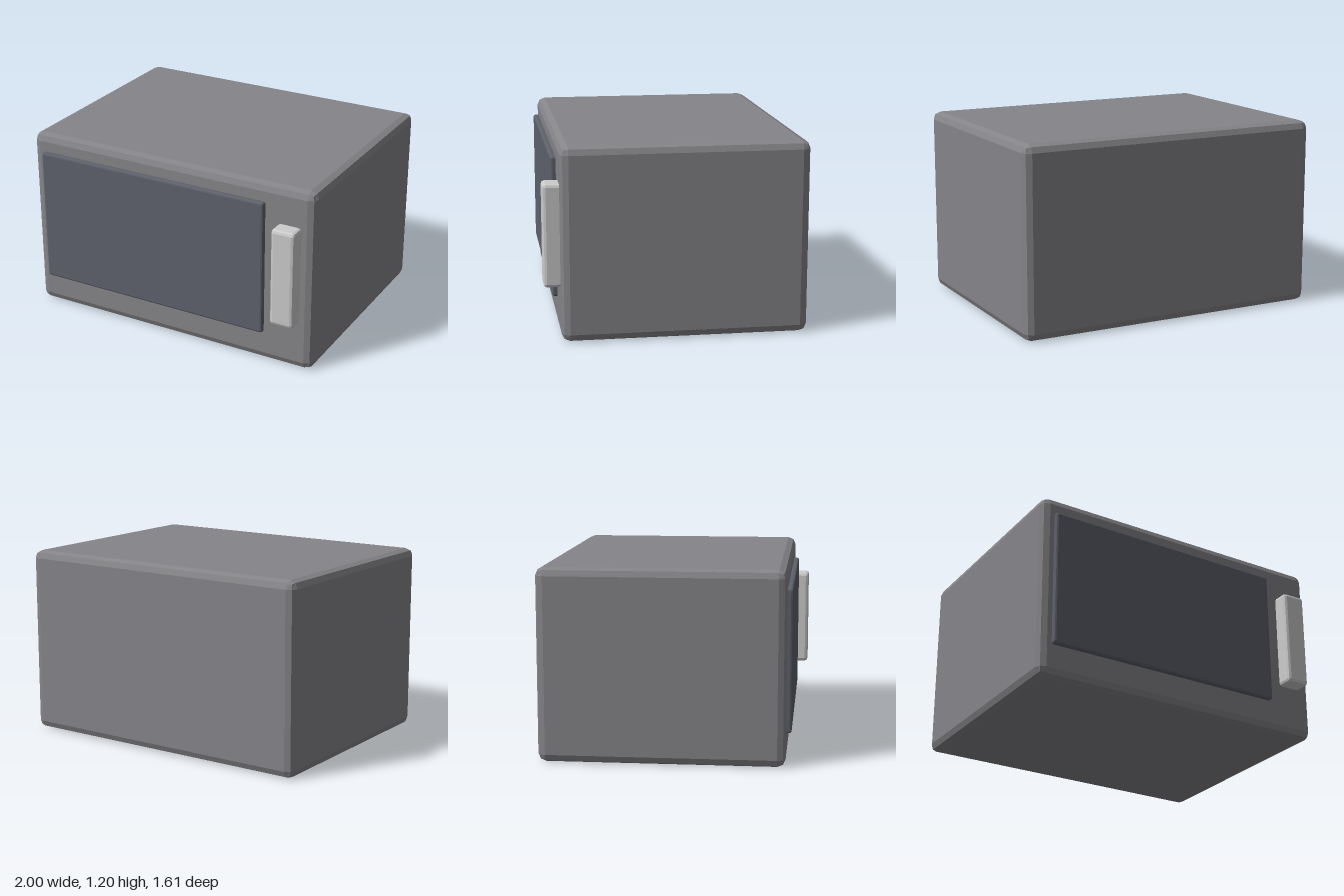
import * as THREE from 'three';
import { RoundedBoxGeometry } from 'three/addons/geometries/RoundedBoxGeometry.js';

// Box with a faceted two-step bevel, given by its lower and upper corners
function bevelledBox(name, min, max, bevel, color) {
  const size = max.map((v, i) => v - min[i]);
  const geometry = new RoundedBoxGeometry(size[0], size[1], size[2], 1, bevel);
  const material = new THREE.MeshStandardMaterial({ color, flatShading: true });
  const mesh = new THREE.Mesh(geometry, material);
  mesh.name = name;
  mesh.position.set(...max.map((v, i) => (v + min[i]) / 2));
  return mesh;
}

export function createModel() {
  const group = new THREE.Group();
  group.name = 'microwave';

  // Main casing
  group.add(bevelledBox('casing', [-1, 0, -0.805], [1, 1.195, 0.705], 0.05, 0x858589));

  // Dark door panel, its back sunk into the casing
  group.add(bevelledBox('door', [-0.92, 0.2, 0.65], [0.675, 1.08, 0.738], 0.013, 0x5e616b));

  // Pale upright handle beside the door
  group.add(bevelledBox('handle', [0.76, 0.325, 0.65], [0.915, 0.96, 0.805], 0.02, 0xcccccc));

  return group;
}
